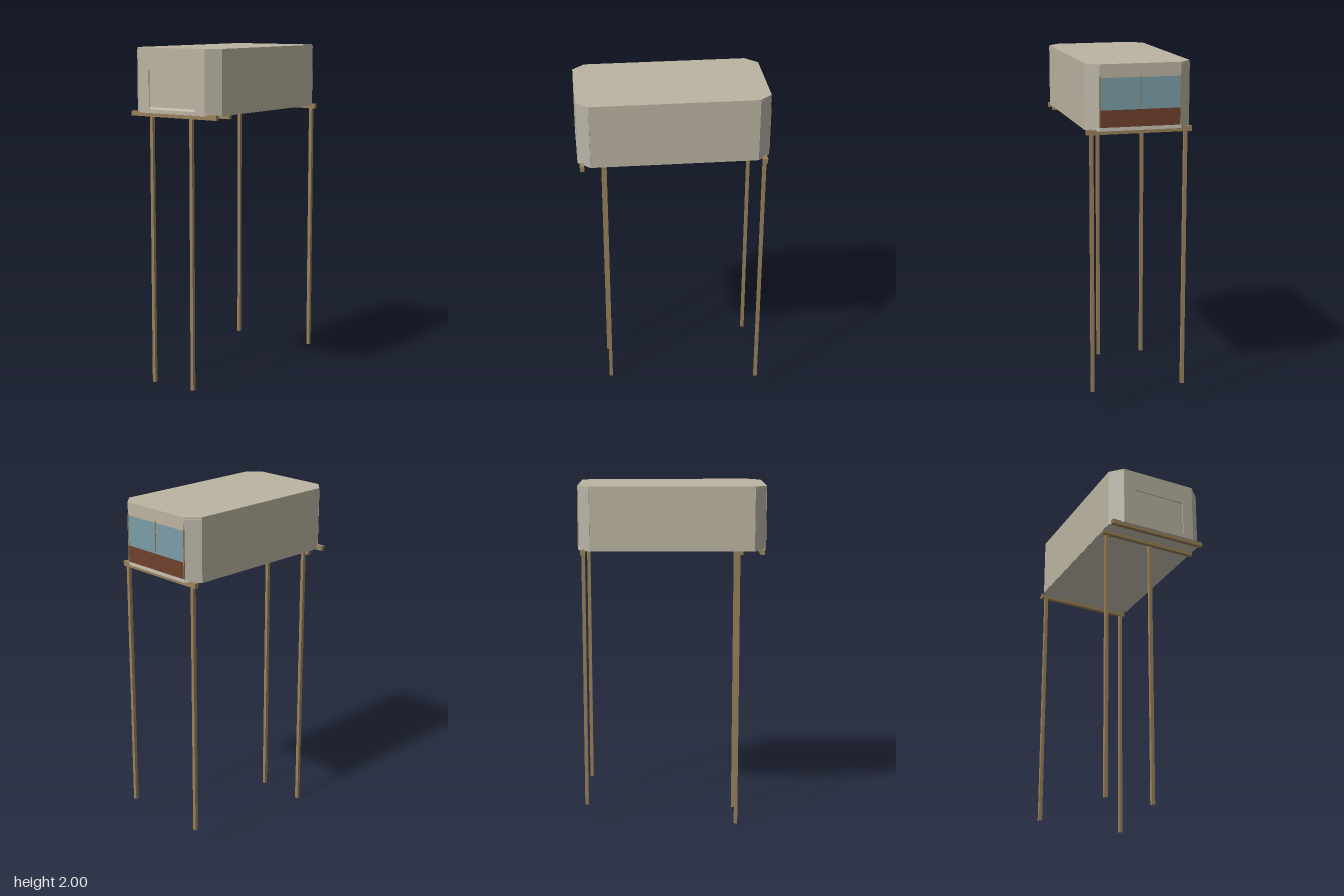
import * as THREE from 'three';

const mat = (name, color) => {
  const m = new THREE.MeshStandardMaterial({ color });
  m.name = name;
  return m;
};

export function createModel() {
  const group = new THREE.Group();
  const wall = mat('wall beige', 0xbcb4a1);
  const corner = mat('corner grey beige', 0xb9b4a7);
  const floorMat = mat('floor pale', 0xc8c0b3);
  const wood = mat('timber', 0x98805a);
  const glass = mat('window blue', 0x7b9ca6);
  const brown = mat('panel brown', 0x6e402d);

  const add = (name, geo, m) => {
    const mesh = new THREE.Mesh(geo, m);
    mesh.name = name;
    group.add(mesh);
    return mesh;
  };
  // Box given by its extents
  const box = (name, m, x0, x1, y0, y1, z0, z1) => {
    const g = new THREE.BoxGeometry(x1 - x0, y1 - y0, z1 - z0);
    g.translate((x0 + x1) / 2, (y0 + y1) / 2, (z0 + z1) / 2);
    return add(name, g, m);
  };

  const X = 0.537, Z = 0.298, XC = 0.467, ZC = 0.23, T = 0.006;
  const base = 1.635, top = 2;

  // Eight-sided floor and roof slabs
  const slab = (name, m, y0, y1, inset) => {
    const x = X - inset, z = Z - inset;
    const s = new THREE.Shape([
      [x, -ZC], [x, ZC], [XC, z], [-XC, z], [-x, ZC], [-x, -ZC], [-XC, -z], [XC, -z],
    ].map(p => new THREE.Vector2(...p)));
    const g = new THREE.ExtrudeGeometry(s, { depth: y1 - y0, bevelEnabled: false });
    g.rotateX(-Math.PI / 2).translate(0, y0, 0);
    return add(name, g, m);
  };
  slab('floor', floorMat, base, 1.655, 0.001);
  slab('roof', wall, 1.99, top, 0);

  // Long side walls and angled corner walls
  for (const s of [-1, 1]) {
    const side = box('sideWall', wall, -XC, XC, base + 0.001, 1.99, -T / 2, T / 2);
    side.position.z = s * (Z - T / 2);
    for (const e of [-1, 1]) {
      const len = Math.hypot(X - XC, Z - ZC);
      const c = add('cornerWall', new THREE.BoxGeometry(len, 1.99 - base - 0.001, T), corner);
      const angle = Math.atan2(X - XC, Z - ZC);
      c.rotation.y = Math.atan2(e * Math.sin(angle), s * Math.cos(angle));
      c.position.set(e * ((X + XC) / 2 - T * 0.35), (1.99 + base) / 2, s * ((Z + ZC) / 2 - T * 0.35));
    }
  }

  // Open end wall with a wide doorway
  const end = new THREE.Shape([[-ZC, base + 0.001], [ZC, base + 0.001], [ZC, 1.99], [-ZC, 1.99]]
    .map(p => new THREE.Vector2(...p)));
  end.holes.push(new THREE.Path([[-0.16, 1.656], [-0.16, 1.873], [0.165, 1.873], [0.165, 1.656]]
    .map(p => new THREE.Vector2(...p))));
  const endGeo = new THREE.ExtrudeGeometry(end, { depth: T, bevelEnabled: false });
  endGeo.rotateY(-Math.PI / 2).translate(-X + T, 0, 0);
  add('doorwayWall', endGeo, wall);
  box('innerPartition', wall, -0.4, -0.39, 1.655, 1.99, -Z + T, Z - T);

  // Glazed end wall
  box('upperEndWall', wall, X - T, X - 0.001, 1.925, 1.99, -ZC, ZC);
  box('lowerPanel', brown, X - T, X - 0.001, 1.655, 1.75, -ZC, ZC);
  for (const s of [-1, 1]) {
    box('windowPane', glass, X - T, X - 0.001, 1.75, 1.925, s < 0 ? -ZC : 0, s < 0 ? 0 : ZC);
    box('windowPost', wood, X - T, X + 0.002, 1.655, 1.935, s * 0.229 - 0.003, s * 0.229 + 0.003);
  }
  box('windowMullion', wood, X - T, X + 0.002, 1.75, 1.935, -0.003, 0.003);

  // Cross beams under the floor
  for (const [x, y1] of [[-0.514, 1.642], [0.509, 1.642], [-0.392, base]]) {
    box('crossBeam', wood, x - 0.012, x + 0.012, 1.614, y1, -0.299, 0.299);
  }

  // Legs: the inner pair reaches lower ground
  for (const [x, z, y0] of [[0.506, 0.27, 0.12], [0.506, -0.266, 0.12], [-0.378, 0.02, 0], [-0.378, -0.266, 0]]) {
    box('leg', wood, x - 0.01, x + 0.01, y0, 1.634, z - 0.01, z + 0.01);
  }
  return group;
}
